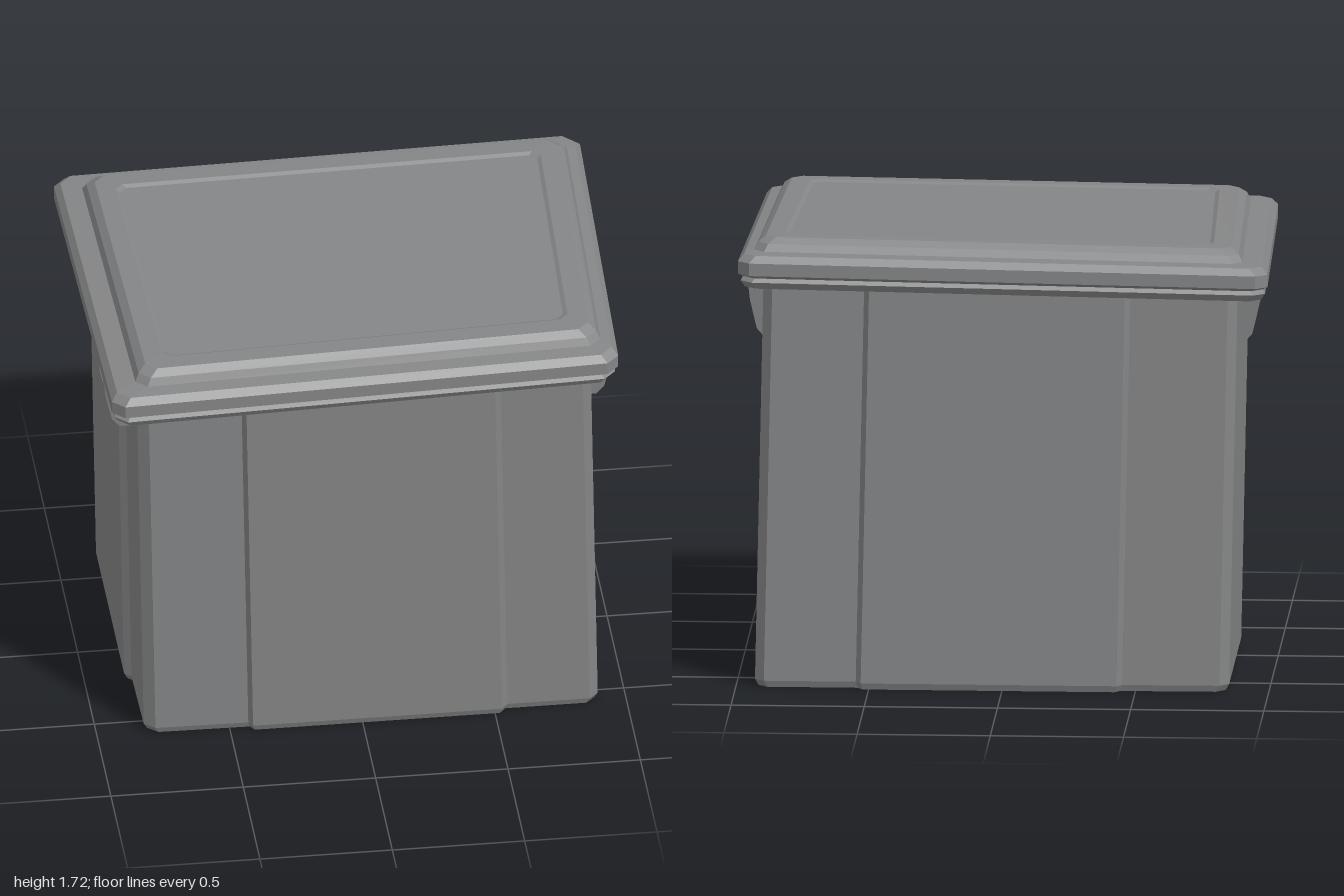
import * as THREE from 'three';

const grey = new THREE.MeshStandardMaterial({ color: 0x848586 });
grey.name = 'grey plastic';

// Skin a stack of equal-length rings (counter-clockwise from above), capped at both ends, with flat facets
function loft(rings) {
  const pos = [];
  const tri = (a, b, c) => pos.push(...a, ...b, ...c);
  const n = rings[0].length;
  for (let r = 0; r < rings.length - 1; r++) {
    for (let i = 0; i < n; i++) {
      const j = (i + 1) % n;
      const [a, b, c, d] = [rings[r][i], rings[r][j], rings[r + 1][j], rings[r + 1][i]];
      tri(a, b, c);
      tri(a, c, d);
    }
  }
  const cap = (ring, up) => {
    const flat = ring.map(([x, , z]) => new THREE.Vector2(x, -z));
    for (const [a, b, c] of THREE.ShapeUtils.triangulateShape(flat, [])) {
      if (up) tri(ring[a], ring[b], ring[c]);
      else tri(ring[a], ring[c], ring[b]);
    }
  };
  cap(rings[0], false);
  cap(rings[rings.length - 1], true);
  const geo = new THREE.BufferGeometry();
  geo.setAttribute('position', new THREE.Float32BufferAttribute(pos, 3));
  geo.computeVertexNormals();
  return geo;
}

function part(name, geo) {
  const mesh = new THREE.Mesh(geo, grey);
  mesh.name = name;
  return mesh;
}

// Bin body: chamfered box with raised middle panels front and back and raised rear side panels
function makeBody() {
  const outline = [
    [-0.85, 0.585], [-0.81, 0.62], [-0.46, 0.625], [-0.445, 0.65],
    [0.495, 0.65], [0.52, 0.62], [0.83, 0.62], [0.865, 0.585],
    [0.87, 0.255], [0.90, 0.23], [0.90, -0.61], [0.865, -0.645],
    [0.52, -0.645], [0.50, -0.675], [-0.46, -0.675], [-0.48, -0.65],
    [-0.845, -0.645], [-0.88, -0.61], [-0.88, 0.23], [-0.855, 0.255],
  ];
  const ring = (y, shrink) => {
    const lean = 1 - y / 1.5;
    return outline.map(([x, z]) => [x * shrink + 0.03 * lean, y, z * shrink - 0.027 * lean]);
  };
  return loft([ring(0, 0.985), ring(0.025, 1), ring(1.58, 1)]);
}

// Lid: slightly skewed, tilted slab with a stepped rim, raised platform and shallow top recess
function makeLid() {
  const corners = [[-0.96, 0.765], [0.955, 0.73], [0.99, -0.77], [-1.0, -0.77]];
  const ring = ([inset, y, shift, chamfer]) => {
    const q = corners.map(([x, z]) => new THREE.Vector2(
      x - Math.sign(x) * inset + shift, z - Math.sign(z) * inset));
    const pts = [];
    q.forEach((p, i) => {
      for (const other of [q[(i + 3) % 4], q[(i + 1) % 4]]) {
        const v = other.clone().sub(p).setLength(chamfer).add(p);
        pts.push([v.x, y + 0.015 * v.x - 0.025 * v.y, v.y]);
      }
    });
    return pts;
  };
  // inset, height, sideways shift, corner chamfer
  return loft([
    [0.095, 1.55, 0, 0.03], [0.05, 1.51, 0, 0.04], [0.025, 1.51, 0, 0.045],
    [0.01, 1.535, 0, 0.045], [0.02, 1.55, 0, 0.045], [0, 1.562, 0, 0.045],
    [0, 1.61, 0, 0.045], [0.022, 1.636, 0, 0.045], [0.078, 1.642, 0.02, 0.04],
    [0.092, 1.67, 0.02, 0.04], [0.12, 1.692, 0.02, 0.04],
    [0.19, 1.694, 0.02, 0.03], [0.205, 1.686, 0.02, 0.03],
  ].map(ring));
}

// Slice of a side bracket: an x-y profile given thickness along z
function slice(side, z, width, profile) {
  const shape = new THREE.Shape(profile.map(([x, y]) => new THREE.Vector2(side * x, y)));
  const geo = new THREE.ExtrudeGeometry(shape, { depth: width, bevelEnabled: false });
  return geo.translate(0, 0, z - width / 2);
}

// Bracket: two cheeks narrowing downwards, a recessed plate between them and a bottom lip
function makeBracket(side, z) {
  const group = new THREE.Group();
  group.name = 'bracket';
  const cheek = [[0.85, 1.54], [0.965, 1.54], [0.955, 1.45], [0.93, 1.34], [0.90, 1.305], [0.85, 1.305]];
  const plate = [[0.85, 1.54], [0.93, 1.54], [0.912, 1.36], [0.85, 1.36]];
  const lip = [[0.85, 1.365], [0.934, 1.365], [0.93, 1.34], [0.90, 1.305], [0.85, 1.305]];
  const add = (name, geo) => {
    const p = geo.attributes.position;
    for (let i = 0; i < p.count; i++) {
      const k = 0.86 + 0.14 * (p.getY(i) - 1.305) / 0.235;
      p.setZ(i, p.getZ(i) * k);
    }
    geo.computeVertexNormals();
    group.add(part(name, geo));
  };
  for (const s of [-1, 1]) add('bracketCheek', slice(side, s * 0.09, 0.045, cheek));
  add('bracketPlate', slice(side, 0, 0.14, plate));
  add('bracketLip', slice(side, 0, 0.14, lip));
  group.position.z = z;
  return group;
}

export function createModel() {
  const model = new THREE.Group();
  model.name = 'bin';
  model.add(part('body', makeBody()), part('lid', makeLid()));
  for (const side of [-1, 1]) {
    for (const z of [0.375, -0.405]) model.add(makeBracket(side, z));
  }
  return model;
}
